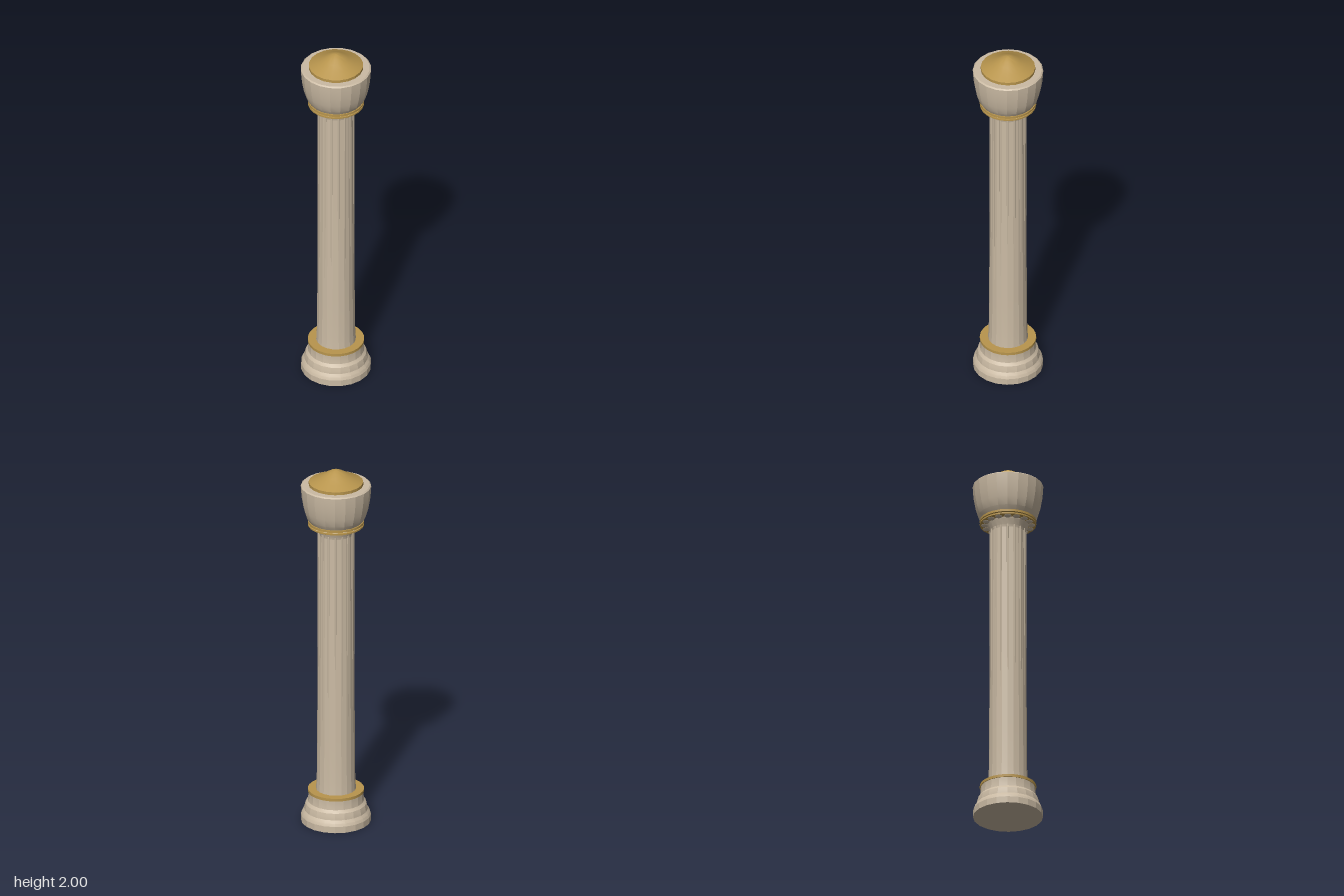
import * as THREE from 'three';
import { toCreasedNormals } from 'three/addons/utils/BufferGeometryUtils.js';

const SIDES = 20;

export function createModel() {
  const stone = new THREE.MeshStandardMaterial({ color: 0xcbbba4 });
  stone.name = 'stone';
  const gold = new THREE.MeshStandardMaterial({ color: 0xb8954d });
  gold.name = 'gold';

  const column = new THREE.Group();
  column.name = 'column';

  const add = (name, geometry, material, parent = column) => {
    const mesh = new THREE.Mesh(geometry, material);
    mesh.name = name;
    parent.add(mesh);
    return mesh;
  };

  // Turned part from [radius, height] pairs, bottom to top
  const turned = (name, profile, material, sides = SIDES) => {
    const points = profile.map(([r, y]) => new THREE.Vector2(r, y));
    return add(name, toCreasedNormals(new THREE.LatheGeometry(points, sides), 0.3), material);
  };

  // Stepped base with its gold band
  turned('base', [
    [0, 0], [0.184, 0], [0.184, 0.035], [0.178, 0.05], [0.167, 0.065], [0.165, 0.08],
    [0.16, 0.1], [0.148, 0.115], [0.145, 0.14], [0.145, 0.165], [0, 0.165],
  ], stone);
  turned('baseBand', [[0, 0.165], [0.148, 0.165], [0.148, 0.18], [0, 0.18]], gold, 24);

  // Slightly tapered shaft
  turned('shaft', [
    [0.105, 0.175], [0.101, 0.25], [0.099, 0.5], [0.096, 1.0], [0.093, 1.64],
  ], stone);

  // Slim ribs that sink into the shaft towards the bottom
  const ribs = new THREE.Group();
  ribs.name = 'ribs';
  column.add(ribs);
  const ribGeometry = new THREE.CylinderGeometry(0.006, 0.006, 1.1, 6);
  for (let i = 0; i < 16; i++) {
    const a = (i / 16) * Math.PI * 2;
    const rib = add('rib', ribGeometry, stone, ribs);
    rib.position.set(Math.sin(a) * 0.0915, 1.1, Math.cos(a) * 0.0915);
  }

  // Flared neck
  turned('neck', [[0.092, 1.63], [0.095, 1.65], [0.108, 1.68], [0.112, 1.7]], stone);

  // Ring of small leaves beneath the gold collar
  const leaves = new THREE.Group();
  leaves.name = 'leaves';
  column.add(leaves);
  const leafGeometry = new THREE.SphereGeometry(0.022, 8, 6);
  for (let i = 0; i < 16; i++) {
    const a = (i / 16) * Math.PI * 2;
    const leaf = add('leaf', leafGeometry, stone, leaves);
    leaf.position.set(Math.sin(a) * 0.122, 1.689, Math.cos(a) * 0.122);
    leaf.scale.set(1, 0.55, 1);
  }
  turned('lowerCollar', [[0.1, 1.686], [0.148, 1.686], [0.148, 1.694], [0.1, 1.694]], gold, 24);
  turned('upperCollar', [[0.1, 1.7], [0.148, 1.7], [0.148, 1.712], [0.1, 1.712]], gold, 24);

  // Bowl-shaped capital with a flat rim
  turned('capital', [
    [0.1, 1.705], [0.14, 1.708], [0.157, 1.735], [0.17, 1.78], [0.179, 1.83],
    [0.184, 1.88], [0.185, 1.908], [0.178, 1.914], [0, 1.914],
  ], stone);

  // Gold lid rising to a point
  turned('lid', [
    [0, 1.912], [0.143, 1.912], [0.143, 1.93], [0.137, 1.933], [0.1, 1.95],
    [0.065, 1.97], [0.037, 1.987], [0.015, 1.997], [0, 2],
  ], gold);

  return column;
}
